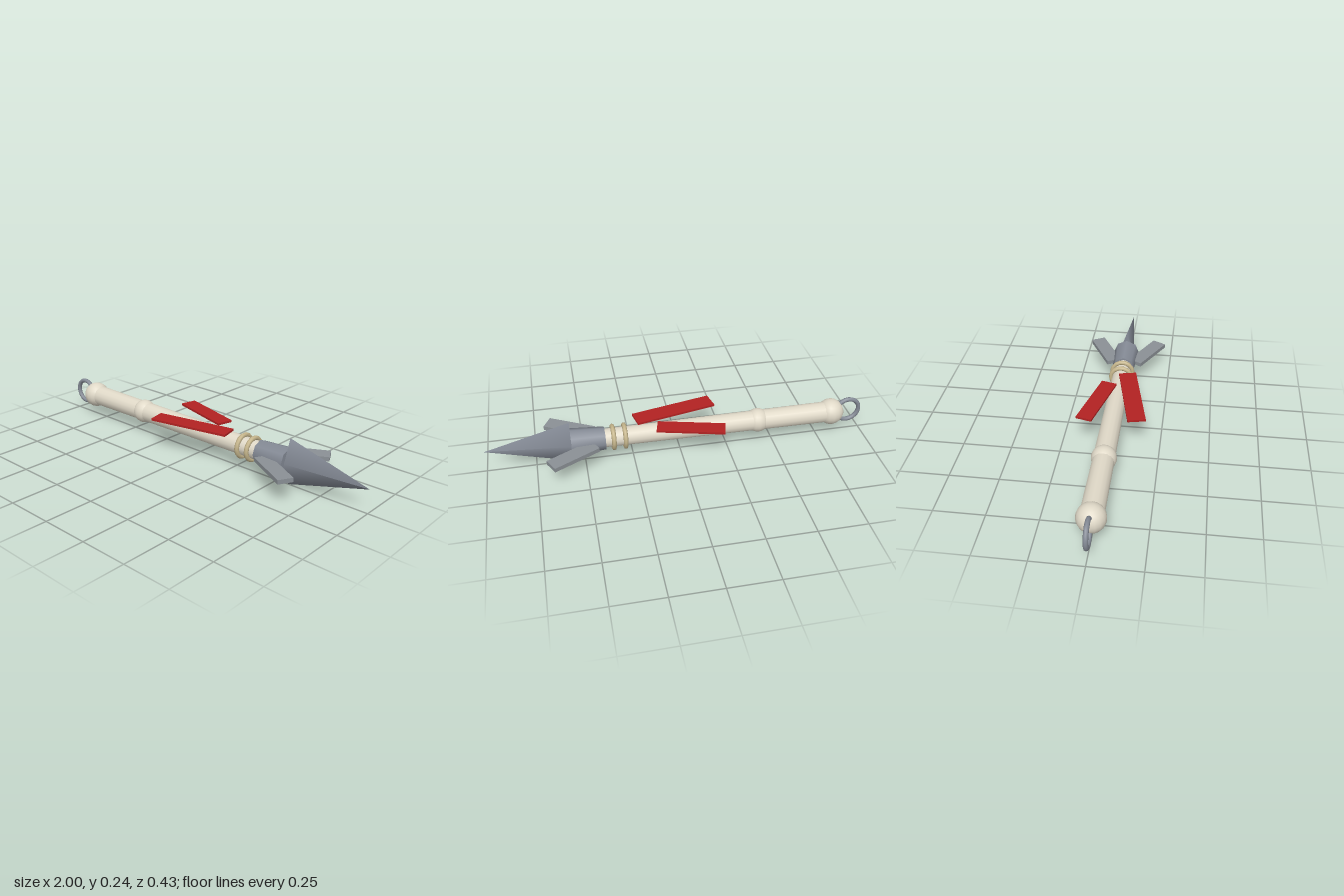
import * as THREE from 'three';

const AXIS_Y = 0.12; // height of the shaft's centre line

const material = (name, color) => {
  const m = new THREE.MeshStandardMaterial({ color });
  m.name = name;
  return m;
};

export function createModel() {
  const bone = material('bone', 0xe0d9c8);
  const cord = material('cord', 0xc6b68c);
  const steel = material('steel', 0x858b96);
  const barbSteel = material('barb steel', 0x8a9095);
  const red = material('red cloth', 0xb22222);

  const model = new THREE.Group();
  model.name = 'spear';

  const add = (name, geometry, mat, x, y = AXIS_Y, z = 0) => {
    const mesh = new THREE.Mesh(geometry, mat);
    mesh.name = name;
    mesh.position.set(x, y, z);
    model.add(mesh);
    return mesh;
  };

  // Tapered round section lying along x, from x0 (radius r0) to x1 (radius r1)
  const section = (name, x0, r0, x1, r1, sides, mat) =>
    add(name, new THREE.CylinderGeometry(r1, r0, x1 - x0, sides).rotateZ(-Math.PI / 2), mat, (x0 + x1) / 2);

  // Shaft with a pommel ball and a knuckle
  section('shaft', -0.83, 0.056, 0.42, 0.048, 16, bone);
  add('pommel', new THREE.SphereGeometry(0.07, 16, 12), bone, -0.828);
  add('knuckle', new THREE.SphereGeometry(0.063, 16, 12), bone, -0.42);

  // Hanging ring at the tail
  add('tailRing', new THREE.TorusGeometry(0.063, 0.012, 8, 20), steel, -0.925);

  // Cord bindings
  for (const x of [0.29, 0.35]) {
    add('binding', new THREE.TorusGeometry(0.057, 0.012, 8, 14).rotateY(Math.PI / 2), cord, x);
  }

  // Flared socket and four-sided point, flattened sideways
  section('socket', 0.392, 0.06, 0.567, 0.071, 8, steel);
  const point = new THREE.ConeGeometry(0.12, 0.433, 4).rotateZ(-Math.PI / 2).scale(1, 1, 0.36);
  add('point', point, steel, 0.7835);

  // Swept side barbs
  for (const side of [1, -1]) {
    const barb = add('barb', new THREE.BoxGeometry(0.26, 0.022, 0.079), barbSteel, 0.563, AXIS_Y, side * 0.121);
    barb.rotation.y = -side * 0.49;
  }

  // Two flat streamers lying above the shaft
  const streamers = [
    { length: 0.432, width: 0.092, x: 0.017, z: 0.087, turn: 0.212 },
    { length: 0.348, width: 0.083, x: -0.042, z: -0.088, turn: -0.25 },
  ];
  for (const s of streamers) {
    const strip = add('streamer', new THREE.BoxGeometry(s.length, 0.011, s.width), red, s.x, 0.184, s.z);
    strip.rotation.y = s.turn;
  }

  return model;
}
